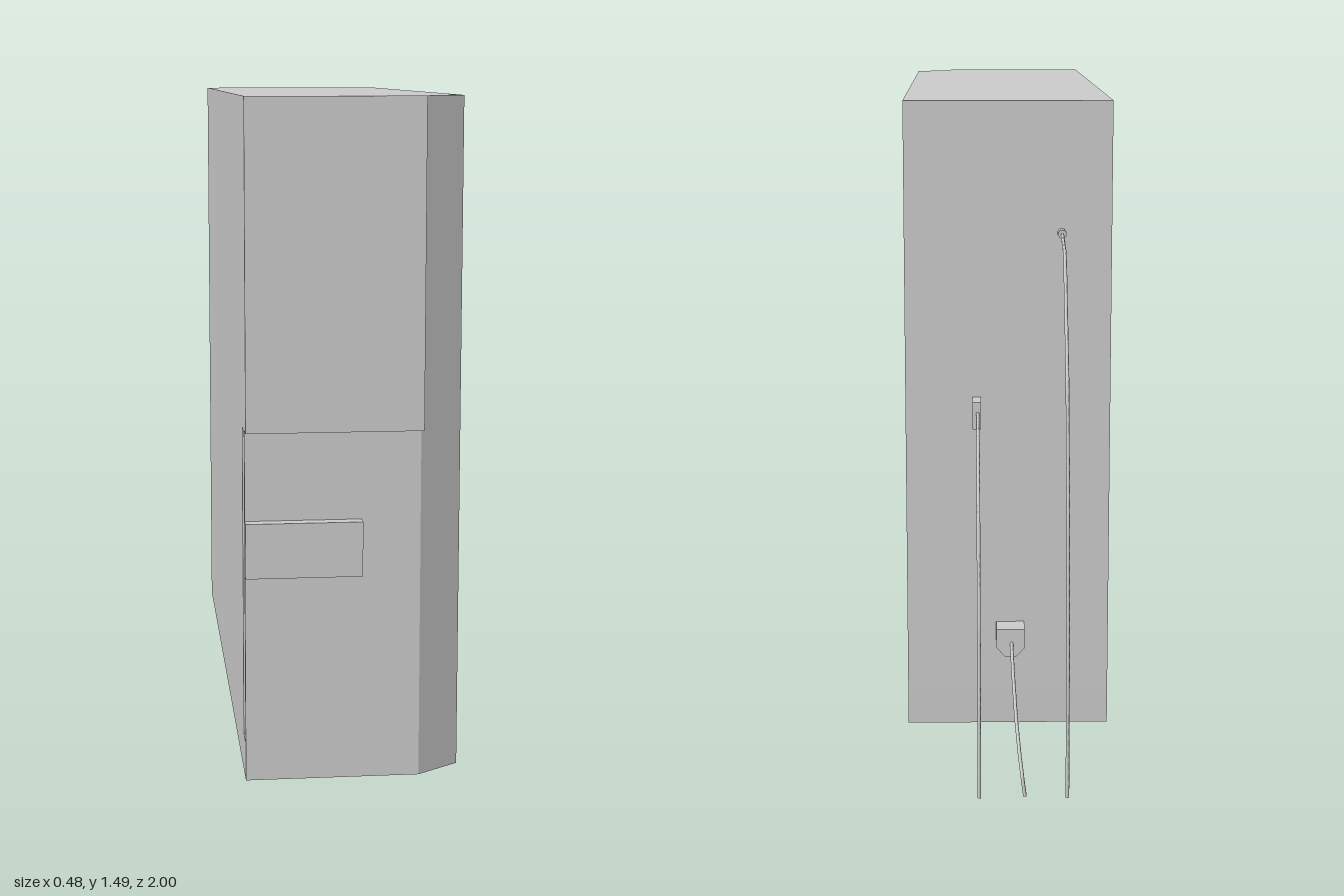
import * as THREE from 'three';

const grey = new THREE.MeshStandardMaterial({ color: 0xcccccc, side: THREE.DoubleSide });

function add(parent, name, geometry, x = 0, y = 0, z = 0) {
  const mesh = new THREE.Mesh(geometry, grey);
  mesh.name = name;
  mesh.position.set(x, y, z);
  parent.add(mesh);
  return mesh;
}

// Box given by its limits on each axis
function block(parent, name, [x0, x1], [y0, y1], [z0, z1]) {
  return add(parent, name, new THREE.BoxGeometry(x1 - x0, y1 - y0, z1 - z0),
    (x0 + x1) / 2, (y0 + y1) / 2, (z0 + z1) / 2);
}

const L = -0.24, R = 0.235, FRONT = 0.957, BACK = -0.585, BOTTOM = 0.018, TOP = 1.497;

// Floor plan of the case as [x, z], with optional finger grooves in each side
function casePlan(leftGroove, rightGroove) {
  const plan = [[L, BACK], [L, FRONT], [0.14, FRONT], [R, 0.895]];
  if (rightGroove) plan.push([R, 0.885], [R - 0.03, 0.883], [R - 0.03, 0.868], [R, 0.866]);
  plan.push([R, BACK]);
  if (leftGroove) plan.splice(1, 0, [L, 0.89], [L + 0.03, 0.89], [L + 0.03, 0.945], [L, 0.945]);
  return new THREE.Shape(plan.map(([x, z]) => new THREE.Vector2(x, -z)));
}

function caseLayer(parent, name, y0, y1, leftGroove, rightGroove) {
  const geometry = new THREE.ExtrudeGeometry(casePlan(leftGroove, rightGroove),
    { depth: y1 - y0, bevelEnabled: false });
  geometry.rotateX(-Math.PI / 2);
  add(parent, name, geometry, 0, y0, 0);
}

// Cable hanging in straight lengths through [x, y, z] points
function cable(parent, name, points) {
  const path = new THREE.CurvePath();
  const v = points.map((p) => new THREE.Vector3(...p));
  for (let i = 1; i < v.length; i++) path.add(new THREE.LineCurve3(v[i - 1], v[i]));
  add(parent, name, new THREE.TubeGeometry(path, 48, 0.004, 6, false));
}

export function createModel() {
  const model = new THREE.Group();
  model.name = 'towerComputer';

  // Case, stacked in layers so that the grooves stop at their own heights
  const body = new THREE.Group();
  body.name = 'case';
  model.add(body);
  caseLayer(body, 'caseBase', BOTTOM, 0.1, false, false);
  caseLayer(body, 'caseMiddle', 0.1, 0.79, true, true);
  caseLayer(body, 'caseUpper', 0.79, TOP, false, true);

  // Front door and control panel
  block(model, 'driveDoor', [L, 0.14], [0.795, TOP], [FRONT, 1]);
  block(model, 'frontPanel', [L, 0.012], [0.477, 0.597], [FRONT, 0.985]);

  // Small side tabs
  for (const y of [0.185, 1.38])
    for (const z of [-0.405, 0.72]) {
      block(model, 'sideTab', [R, R + 0.003], [y + 0.004, y + 0.008], [z - 0.05, z + 0.05]);
      block(model, 'sideTabHook', [R, R + 0.003], [y - 0.012, y + 0.008], [z - 0.05, z - 0.046]);
    }

  // Rear plugs
  const round = new THREE.CylinderGeometry(0.01, 0.01, 0.032, 10).rotateX(Math.PI / 2);
  add(model, 'roundPlug', round, -0.125, 1.198, BACK - 0.016);
  block(model, 'flatPlug', [0.06, 0.08], [0.752, 0.816], [-0.645, BACK]);
  const power = new THREE.Shape([[-0.033, 0.033], [-0.033, -0.012], [-0.014, -0.033],
    [0.014, -0.033], [0.033, -0.012], [0.033, 0.033]].map((p) => new THREE.Vector2(...p)));
  add(model, 'powerPlug', new THREE.ExtrudeGeometry(power, { depth: 0.06, bevelEnabled: false }),
    -0.008, 0.238, -0.645);

  // Cables falling behind the case
  const zs = [-0.74, -0.88, -0.955, -0.985, -0.996];
  const drop = (x, start, ys) => [start, ...zs.map((z, i) => [x, ys[i], z])];
  cable(model, 'roundPlugCable', drop(-0.125, [-0.125, 1.198, -0.61], [1.17, 0.915, 0.61, 0.28, 0.005]));
  cable(model, 'flatPlugCable', drop(0.068, [0.068, 0.79, -0.64], [0.77, 0.595, 0.39, 0.2, 0.005]));
  cable(model, 'powerCable', [[-0.01, 0.238, -0.64], [-0.011, 0.207, -0.74], [-0.015, 0.145, -0.88],
    [-0.021, 0.09, -0.955], [-0.027, 0.045, -0.99], [-0.032, 0.008, -0.996]]);

  return model;
}
